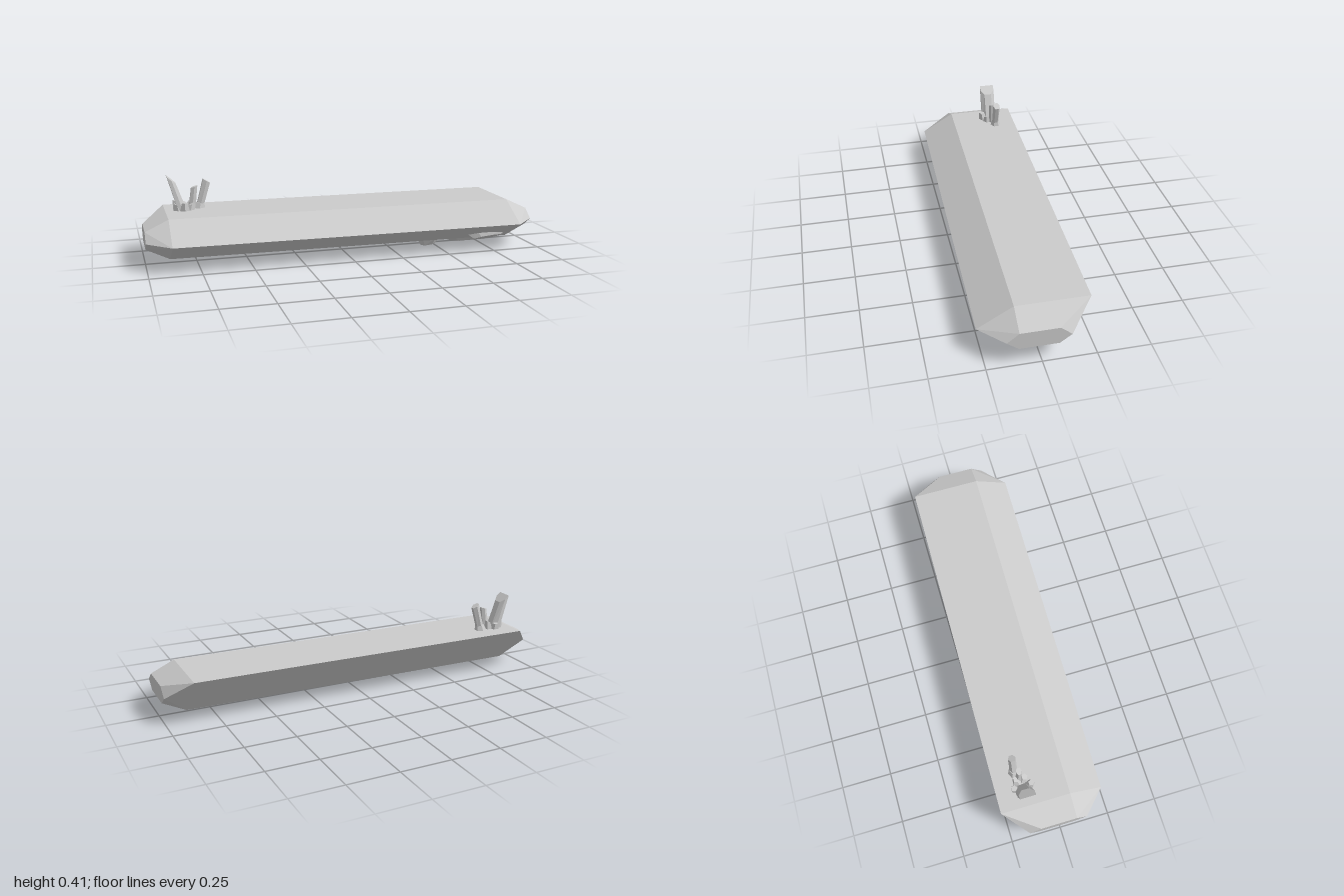
import * as THREE from 'three';
import { ConvexGeometry } from 'three/addons/geometries/ConvexGeometry.js';

const material = new THREE.MeshStandardMaterial({ color: 0xcccccc, flatShading: true });

function add(parent, name, geometry) {
  const mesh = new THREE.Mesh(geometry, material);
  mesh.name = name;
  parent.add(mesh);
  return mesh;
}

// Leaning prism from base to top; cut slopes its upper end down towards +x
function shard(parent, name, base, top, rx, rz, cut, { sides = 6, taper = 1, flatBack = false } = {}) {
  const a = new THREE.Vector3(...base), b = new THREE.Vector3(...top);
  const geometry = new THREE.CylinderGeometry(taper, 1, 1, sides);
  const p = geometry.attributes.position;
  for (let i = 0; i < p.count; i++) {
    const t = p.getY(i) + 0.5;
    const x = p.getX(i) * rx;
    let z = p.getZ(i) * rz;
    if (flatBack && x < -0.1 * rx && Math.abs(z) > 0.1 * rz) z = Math.sign(z) * rz;
    const y = t > 0.5 ? b.y - a.y - cut * x : 0;
    // Shear along the lean so the section stays level
    p.setXYZ(i, a.x + (b.x - a.x) * t + x, a.y + y, a.z + (b.z - a.z) * t + z);
  }
  return add(parent, name, geometry);
}

// Flat faceted lump, widest where it meets the body
function lump(parent, name, [x, y, z], [lx, h, lz], tilt, sides, turn) {
  const geometry = new THREE.CylinderGeometry(1, 0.62, 1, sides, 1, false, turn);
  const p = geometry.attributes.position;
  for (let i = 0; i < p.count; i++) {
    if (p.getY(i) < 0) p.setY(i, -0.5 + 0.3 * p.getX(i));
  }
  geometry.scale(lx, h, lz);
  const mesh = add(parent, name, geometry);
  mesh.position.set(x, y, z);
  mesh.rotation.x = tilt;
}

export function createModel() {
  const model = new THREE.Group();
  model.name = 'crystalBar';

  // Main body: slanted five-sided bar with a smaller six-sided face at each end
  const rim = [[0.137, 0.27], [0.236, 0.103], [0.236, -0.243], [0.04, -0.075], [0.04, 0.105]];
  const cap = [[0.137, 0.16], [0.182, 0.105], [0.182, -0.075], [0.137, -0.13], [0.096, -0.075], [0.096, 0.105]];
  const points = [];
  for (const side of [1, -1]) {
    const shift = side < 0 ? -0.031 : 0;
    for (const [y, z] of rim) points.push(new THREE.Vector3(side * 0.885, y, z + shift));
    for (const [y, z] of cap) points.push(new THREE.Vector3(side, y, z + shift));
  }
  add(model, 'body', new ConvexGeometry(points));

  // Crystal cluster on the top face
  const cluster = new THREE.Group();
  cluster.name = 'crystalCluster';
  model.add(cluster);
  shard(cluster, 'largeCrystal', [-0.795, 0.225, -0.139], [-0.848, 0.391, -0.139], 0.025, 0.039, 0.85, { flatBack: true });
  shard(cluster, 'middleCrystal', [-0.75, 0.225, -0.145], [-0.734, 0.349, -0.142], 0.02, 0.016, -0.3, { taper: 0.9 });
  shard(cluster, 'rightCrystal', [-0.712, 0.225, -0.158], [-0.67, 0.373, -0.158], 0.02, 0.019, 0.6);

  // Ring of short stubs around the crystal feet
  for (let i = 0; i < 6; i++) {
    const a = i * Math.PI / 3 + 0.5;
    const c = Math.cos(a), s = Math.sin(a);
    shard(cluster, 'stub' + (i + 1),
      [-0.79 + 0.032 * c, 0.225, -0.138 + 0.032 * s],
      [-0.79 + 0.043 * c, 0.266 + 0.01 * (i % 2), -0.138 + 0.043 * s],
      0.028, 0.028, -0.5 * c, { sides: 5, taper: 0.55 });
  }
  shard(cluster, 'smallBase', [-0.712, 0.225, -0.16], [-0.705, 0.262, -0.158], 0.036, 0.031, 0.15, { taper: 0.65 });

  // Lumps under the body and on its lower front slope
  const lumps = new THREE.Group();
  lumps.name = 'undersideLumps';
  model.add(lumps);
  lump(lumps, 'smallLump', [0.467, 0.027, 0.045], [0.067, 0.036, 0.05], 0, 6, 0.3);
  lump(lumps, 'longLump', [0.71, 0.03, 0.04], [0.18, 0.024, 0.053], 0, 7, 0.2);
  lump(lumps, 'slopeLump', [0.76, 0.066, 0.143], [0.135, 0.036, 0.043], -0.53, 8, 0.2);
  return model;
}
